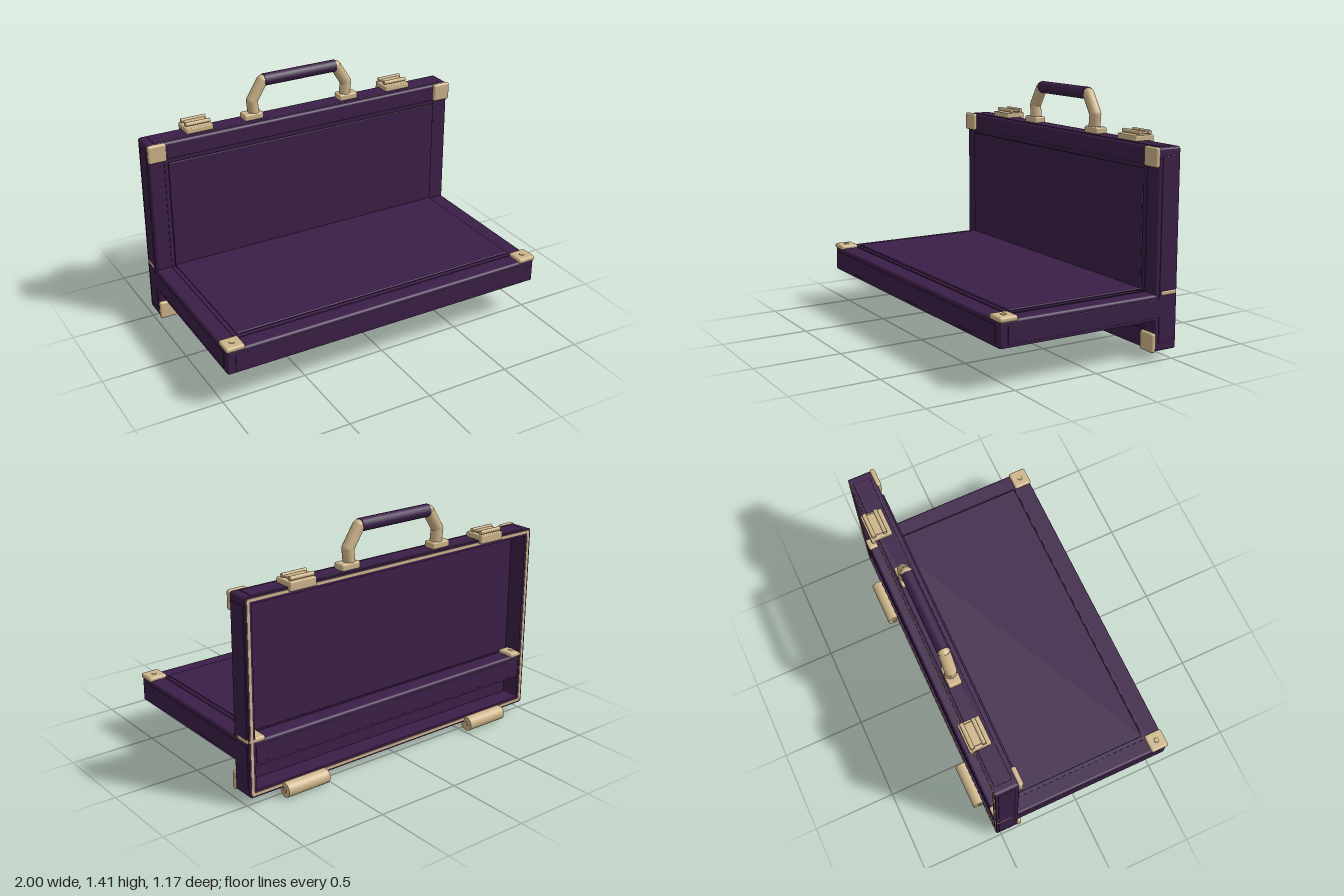
import * as THREE from 'three';
import { RoundedBoxGeometry } from 'three/addons/geometries/RoundedBoxGeometry.js';

const leather = new THREE.MeshStandardMaterial({ color: 0x3b1f47 });
leather.name = 'purple leather';
const brass = new THREE.MeshStandardMaterial({ color: 0xcdb48a });
brass.name = 'pale brass';

function add(parent, name, geometry, material, x = 0, y = 0, z = 0) {
  const mesh = new THREE.Mesh(geometry, material);
  mesh.name = name;
  mesh.position.set(x, y, z);
  parent.add(mesh);
  return mesh;
}

const softBox = (w, h, d, r = 0.01) => new RoundedBoxGeometry(w, h, d, 2, r);

function roundRect(path, w, d, r) {
  const x = w / 2, y = d / 2;
  path.moveTo(-x + r, -y);
  path.lineTo(x - r, -y);
  path.quadraticCurveTo(x, -y, x, -y + r);
  path.lineTo(x, y - r);
  path.quadraticCurveTo(x, y, x - r, y);
  path.lineTo(-x + r, y);
  path.quadraticCurveTo(-x, y, -x, y - r);
  path.lineTo(-x, -y + r);
  path.quadraticCurveTo(-x, -y, -x + r, -y);
  return path;
}

// Flat rectangular ring lying in xz, rising from y = 0 to y = h
function frame(w, d, t, h, r = 0.012) {
  const shape = roundRect(new THREE.Shape(), w, d, r);
  shape.holes.push(roundRect(new THREE.Path(), w - 2 * t, d - 2 * t, r / 2));
  const g = new THREE.ExtrudeGeometry(shape, { depth: h, bevelEnabled: false, curveSegments: 4 });
  g.rotateX(-Math.PI / 2);
  return g;
}

// One half of the case: outer face up, opening down
function tray(name, screws) {
  const W = 1.99, D = 1.104, H = 0.141;
  const g = new THREE.Group();
  g.name = name;
  add(g, 'walls', frame(W, D, 0.04, H - 0.014, 0.016), leather);
  add(g, 'shell', softBox(W, 0.03, D, 0.014), leather, 0, H - 0.015, 0);
  add(g, 'raisedPanel', softBox(1.77, 0.012, 0.87, 0.005), leather, 0, 0.154, 0);
  add(g, 'panelWelt', frame(1.81, 0.91, 0.012, 0.006), leather, 0, H - 0.002, 0);
  add(g, 'rimTrim', frame(W - 0.02, D - 0.02, 0.016, 0.02), brass, 0, -0.003, 0);
  for (const s of [-1, 1]) {
    add(g, 'sidePanel', softBox(0.008, 0.1, D - 0.09, 0.003), leather, s * 0.994, 0.065, 0);
    add(g, 'endPanel', softBox(1.9, 0.1, 0.008, 0.003), leather, 0, 0.065, s * 0.551);
    for (const sz of [-1, 1]) {
      const x = s * 0.945, z = sz * 0.502;
      add(g, 'cornerGuard', softBox(0.11, 0.03, 0.108, 0.012), brass, x, 0.146, z);
      if (screws) add(g, 'cornerScrew', new THREE.CylinderGeometry(0.014, 0.016, 0.004, 16), brass, x, 0.162, z);
    }
  }
  return g;
}

// Round bar between two points
function bar(parent, name, a, b, r, material) {
  const dir = b.clone().sub(a);
  const m = add(parent, name, new THREE.CylinderGeometry(r, r, dir.length(), 16), material);
  m.position.copy(a).addScaledVector(dir, 0.5);
  m.quaternion.setFromUnitVectors(new THREE.Vector3(0, 1, 0), dir.normalize());
  return m;
}

function handle() {
  const g = new THREE.Group();
  g.name = 'handle';
  g.position.z = -0.468;
  for (const s of [-1, 1]) {
    const pts = [[0.303, 1.18], [0.312, 1.265], [0.242, 1.376]].map(([x, y]) => new THREE.Vector3(s * x, y, 0));
    add(g, 'handleFoot', softBox(0.12, 0.04, 0.075), brass, s * 0.315, 1.175, 0);
    bar(g, 'handlePost', pts[0], pts[1], 0.034, brass);
    bar(g, 'handleArm', pts[1], pts[2], 0.034, brass);
    add(g, 'handleElbow', new THREE.SphereGeometry(0.034, 16, 12), brass, pts[1].x, pts[1].y, 0);
    add(g, 'handleEnd', new THREE.SphereGeometry(0.033, 16, 12), brass, pts[2].x, pts[2].y, 0);
  }
  bar(g, 'grip', new THREE.Vector3(-0.235, 1.378, 0), new THREE.Vector3(0.235, 1.378, 0), 0.036, leather);
  return g;
}

function latch(x) {
  const g = new THREE.Group();
  g.name = 'latch';
  g.position.set(x, 1.158, -0.487);
  add(g, 'latchBase', softBox(0.165, 0.032, 0.12, 0.006), brass, 0, 0.014, 0);
  add(g, 'latchCatch', softBox(0.165, 0.05, 0.024, 0.006), brass, 0, 0.005, -0.053);
  add(g, 'latchFlap', softBox(0.13, 0.014, 0.08, 0.005), brass, 0, 0.04, -0.01);
  for (const z of [0.022, -0.044]) {
    add(g, 'latchPin', new THREE.CylinderGeometry(0.012, 0.012, 0.15, 12), brass, 0, 0.044, z).rotation.z = Math.PI / 2;
  }
  return g;
}

export function createModel() {
  const model = new THREE.Group();
  model.name = 'openBriefcase';

  // Upright half, opening to the back
  const upright = tray('uprightHalf', false);
  upright.rotation.x = Math.PI / 2;
  upright.position.set(0, 0.603, -0.525);
  model.add(upright);

  // Flat half, opening downwards, with a trimmed liner board
  const flat = tray('flatHalf', true);
  flat.position.set(0, 0.226, 0.03);
  add(flat, 'linerBoard', new THREE.BoxGeometry(1.66, 0.01, 0.74), leather, 0, 0.019, 0);
  add(flat, 'linerTrim', frame(1.67, 0.75, 0.016, 0.014), brass, 0, 0.009, 0);
  model.add(flat);

  model.add(handle());
  for (const s of [-1, 1]) {
    model.add(latch(s * 0.657));
    add(model, 'hingeBarrel', new THREE.CylinderGeometry(0.042, 0.042, 0.27, 24), brass, s * 0.655, 0.043, -0.545).rotation.z = Math.PI / 2;
    add(model, 'hingePin', new THREE.CylinderGeometry(0.014, 0.014, 0.28, 12), brass, s * 0.655, 0.043, -0.545).rotation.z = Math.PI / 2;
  }
  return model;
}
